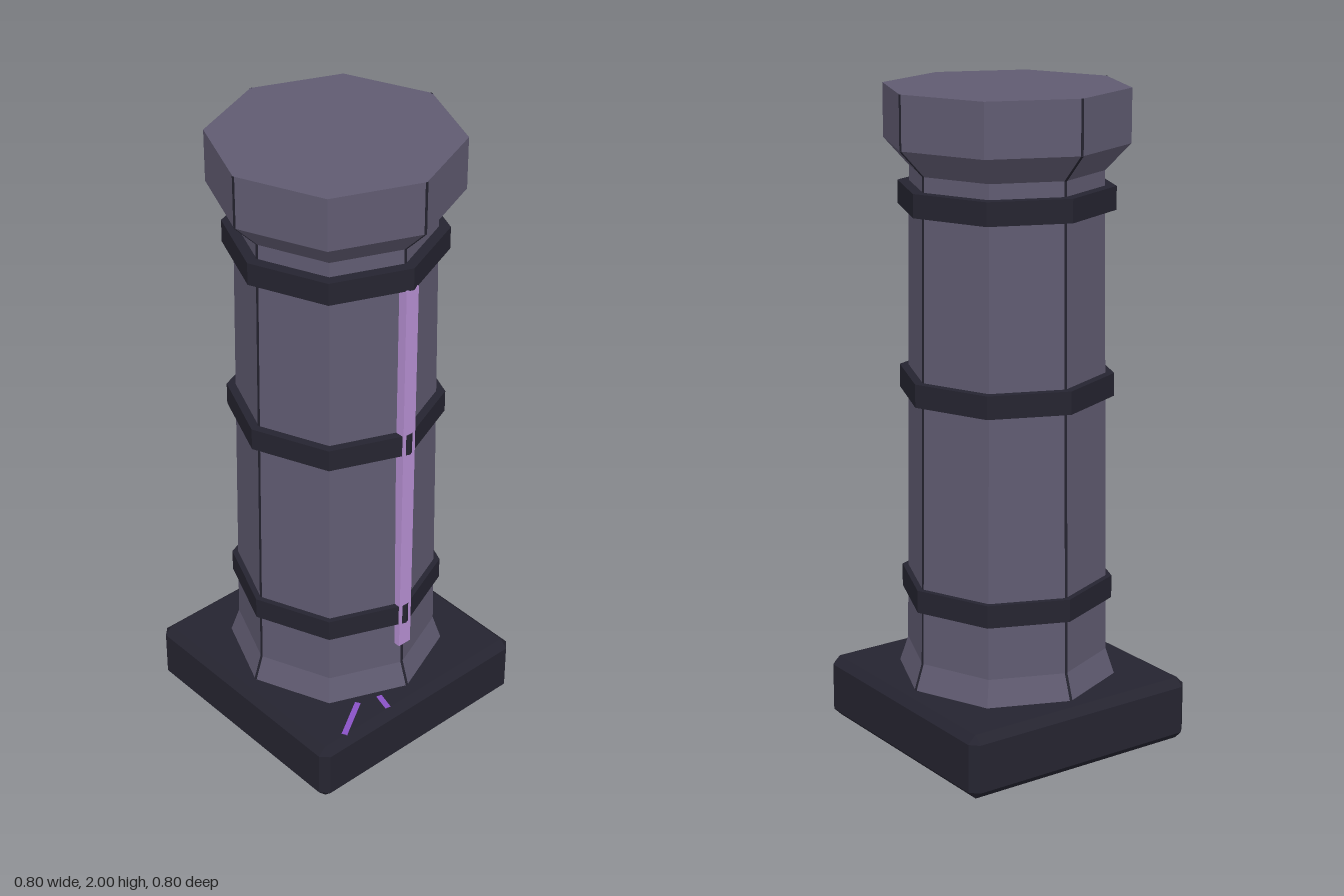
import * as THREE from 'three';
import { ConvexGeometry } from 'three/addons/geometries/ConvexGeometry.js';

const material = (name, color) => Object.assign(new THREE.MeshStandardMaterial({ color }), { name });

// Faceted eight-sided turning with corners on the x and z axes
function octagon(profile) {
  const points = profile.map(([r, y]) => new THREE.Vector2(r, y));
  const geometry = new THREE.LatheGeometry(points, 8).toNonIndexed();
  geometry.computeVertexNormals();
  return geometry;
}

// Box with all edges and corners cut by c
function chamferedBox(w, h, d, c) {
  const points = [];
  for (const x of [-1, 1]) for (const y of [-1, 1]) for (const z of [-1, 1]) {
    const [a, b, e] = [w / 2, h / 2, d / 2];
    points.push(
      new THREE.Vector3(x * a, y * (b - c), z * (e - c)),
      new THREE.Vector3(x * (a - c), y * b, z * (e - c)),
      new THREE.Vector3(x * (a - c), y * (b - c), z * e));
  }
  return new ConvexGeometry(points);
}

export function createModel() {
  const stone = material('grey violet stone', 0x605b71);
  const iron = material('dark iron', 0x252430);
  const glow = material('lilac glow', 0xb68fd2);
  const crackPurple = material('crack purple', 0x8a52c6);

  const model = new THREE.Group();
  model.name = 'pillar';
  const add = (name, geometry, mat, x = 0, y = 0, z = 0, parent = model) => {
    const mesh = new THREE.Mesh(geometry, mat);
    mesh.name = name;
    mesh.position.set(x, y, z);
    parent.add(mesh);
    return mesh;
  };

  // Square plinth
  add('plinth', chamferedBox(0.8, 0.2, 0.8, 0.025), iron, 0, 0.1, 0);

  // Flared foot, tapering shaft and capital
  const outline = [[0.338, 0.195], [0.31, 0.28], [0.29, 1.76], [0.366, 1.84], [0.366, 2]];
  add('column', octagon([[0, 0.195], ...outline, [0, 2]]), stone);

  // Iron bands
  for (const y of [0.483, 1.12, 1.68]) {
    add('band', octagon([[0.28, -0.035], [0.325, -0.035], [0.325, 0.035], [0.28, 0.035]]), iron, 0, y);
  }

  // Glowing strip down the front corner
  add('glowStrip', new THREE.BoxGeometry(0.046, 1.285, 0.03), glow, 0, 1.005, 0.305);

  // Fine dark seams along the four axial corners
  for (let side = 0; side < 4; side++) {
    const seam = new THREE.Group();
    seam.name = 'cornerSeam';
    seam.rotation.y = side * Math.PI / 2;
    model.add(seam);
    for (let i = 0; i < outline.length - 1; i++) {
      const [r0, y0] = outline[i], [r1, y1] = outline[i + 1];
      const piece = add('seamPiece', new THREE.BoxGeometry(0.008, Math.hypot(r1 - r0, y1 - y0), 0.004),
        iron, 0, (y0 + y1) / 2, (r0 + r1) / 2 - 0.002, seam);
      piece.rotation.x = Math.atan2(r1 - r0, y1 - y0);
    }
  }

  // Purple cracks on top of the plinth
  for (const [x0, z0, x1, z1] of [[-0.295, 0.373, -0.17, 0.295], [-0.115, 0.373, -0.1, 0.315]]) {
    const crack = add('crack', new THREE.BoxGeometry(0.018, 0.003, Math.hypot(x1 - x0, z1 - z0)),
      crackPurple, (x0 + x1) / 2, 0.2, (z0 + z1) / 2);
    crack.rotation.y = Math.atan2(x1 - x0, z1 - z0);
  }

  return model;
}
